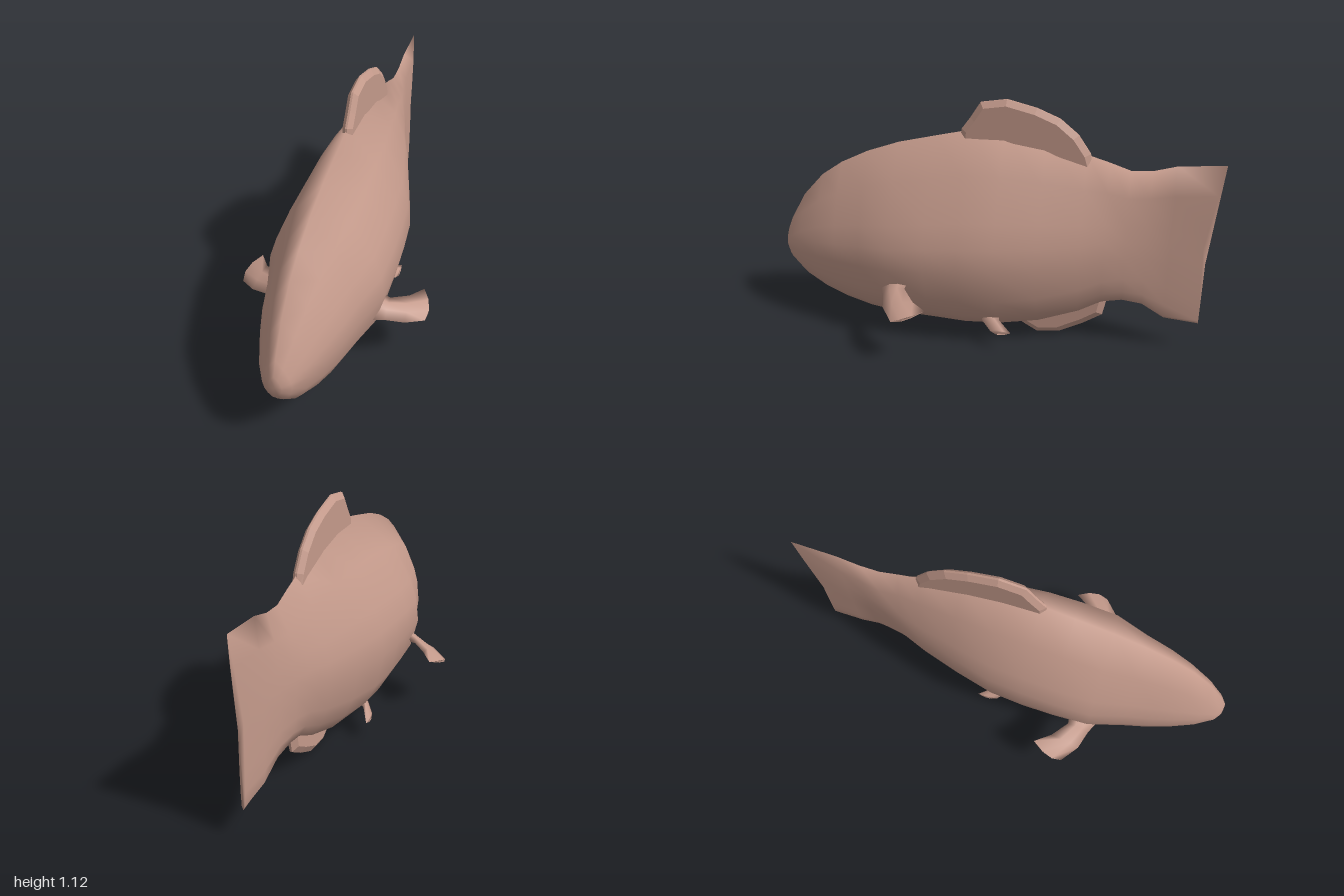
import * as THREE from 'three';

const material = new THREE.MeshStandardMaterial({ color: 0xc49a8b });

// Skin over closed rings of [x, y, z]; rings run anticlockwise seen from the first one.
function loft(rings) {
  const n = rings[0].length, pos = rings.flat(2), index = [];
  for (let i = 0; i < rings.length - 1; i++) {
    for (let j = 0; j < n; j++) {
      const a = i * n + j, b = i * n + (j + 1) % n;
      index.push(a, a + n, b, b, a + n, b + n);
    }
  }
  const cap = (ring, start, flip) => {
    const c = pos.length / 3;
    for (let k = 0; k < 3; k++) pos.push(ring.reduce((s, p) => s + p[k], 0) / n);
    for (let j = 0; j < n; j++) {
      const a = start + j, b = start + (j + 1) % n;
      index.push(c, flip ? b : a, flip ? a : b);
    }
  };
  cap(rings[0], 0, false);
  cap(rings[rings.length - 1], (rings.length - 1) * n, true);
  const g = new THREE.BufferGeometry();
  g.setAttribute('position', new THREE.Float32BufferAttribute(pos, 3));
  g.setIndex(index);
  g.computeVertexNormals();
  return g;
}

// Half cross-section of the body: [height fraction, width fraction]
const half = [[0, 0], [0.02, 0.37], [0.1, 0.66], [0.21, 0.87], [0.38, 1],
  [0.5, 0.95], [0.62, 0.82], [0.82, 0.47], [1, 0]];

// Body stations: z, bottom, top, half width
const stations = [
  [1.0, 0.31, 0.41, 0.03], [0.975, 0.265, 0.47, 0.062], [0.9, 0.19, 0.6, 0.105],
  [0.8, 0.135, 0.71, 0.145], [0.7, 0.1, 0.78, 0.178], [0.57, 0.07, 0.845, 0.21],
  [0.42, 0.06, 0.9, 0.26], [0.25, 0.057, 0.943, 0.265], [0.1, 0.05, 0.98, 0.26],
  [-0.06, 0.06, 0.985, 0.245], [-0.24, 0.09, 0.96, 0.195], [-0.42, 0.155, 0.91, 0.14],
  [-0.52, 0.21, 0.882, 0.103], [-0.61, 0.233, 0.853, 0.072], [-0.7, 0.215, 0.86, 0.045],
  [-0.8, 0.155, 0.89, 0.024], [-0.94, 0.145, 0.91, 0.012],
];

function bodyGeometry() {
  return loft(stations.map(([z, lo, hi, w], i) => {
    const last = i === stations.length - 1;
    const flat = z < -0.6 ? 0.6 : 1; // tail blade keeps a more even thickness
    const right = half.map(([t, f]) => {
      // the tail's rear edge is notched and sweeps back at the top
      const sweep = last ? (t > 0.5 ? (t - 0.5) * 0.12 : (0.5 - t) * 0.03) : 0;
      return [w * f ** flat, lo + (hi - lo) * t, z - sweep];
    });
    const left = right.slice(1, -1).reverse().map(([x, y, zz]) => [-x, y, zz]);
    return [...right, ...left];
  }));
}

// Upright midline fin from a [z, y] outline, with bevelled edges
function midlineFin(outline, thickness, bevel) {
  const shape = new THREE.Shape(outline.map(([z, y]) => new THREE.Vector2(-z, y)));
  const g = new THREE.ExtrudeGeometry(shape, {
    depth: thickness * 0.2, bevelEnabled: true, bevelThickness: thickness * 0.4,
    bevelSize: bevel, bevelOffset: -bevel, bevelSegments: 1,
  });
  g.translate(0, 0, -thickness * 0.1);
  g.rotateY(Math.PI / 2);
  return g;
}

// Paired fin from sections: leading point, trailing point, thickness, outward bulge
function pairedFin(sections, side) {
  const rings = sections.map(([lead, trail, thick, bulge]) => {
    const at = (t, s) => [
      side * (lead[0] + (trail[0] - lead[0]) * t + (s ? bulge : 0)),
      lead[1] + (trail[1] - lead[1]) * t + s * thick / 2,
      lead[2] + (trail[2] - lead[2]) * t,
    ];
    const ring = [at(0, 0), at(0.3, 1), at(0.65, 0.8), at(1, 0), at(0.65, -0.8), at(0.3, -1)];
    return side > 0 ? ring : ring.reverse();
  });
  return loft(rings);
}

export function createModel() {
  const group = new THREE.Group();
  const add = (name, geometry) => {
    const mesh = new THREE.Mesh(geometry, material);
    mesh.name = name;
    group.add(mesh);
  };

  add('bodyAndTail', bodyGeometry());

  add('dorsalFin', midlineFin([
    [0.14, 0.9], [0.13, 0.985], [0.09, 1.04], [0.045, 1.11], [-0.07, 1.13], [-0.2, 1.1],
    [-0.3, 1.06], [-0.38, 0.995], [-0.435, 0.915], [-0.45, 0.84],
  ], 0.045, 0.025));

  add('analFin', midlineFin([
    [-0.08, 0.14], [-0.12, 0.065], [-0.17, 0.035], [-0.225, 0.005], [-0.33, 0.02],
    [-0.44, 0.08], [-0.525, 0.137], [-0.54, 0.21], [-0.54, 0.27],
  ], 0.05, 0.03));

  for (const [label, side] of [['left', 1], ['right', -1]]) {
    add(label + 'PectoralFin', pairedFin([
      [[0.2, 0.275, 0.47], [0.2, 0.33, 0.33], 0.07, 0],
      [[0.27, 0.265, 0.435], [0.265, 0.305, 0.335], 0.04, 0],
      [[0.35, 0.25, 0.41], [0.335, 0.285, 0.275], 0.025, 0],
      [[0.425, 0.23, 0.35], [0.385, 0.278, 0.205], 0.012, 0.018],
    ], side));
    add(label + 'PelvicFin', pairedFin([
      [[0.11, 0.16, 0.03], [0.11, 0.175, -0.06], 0.05, 0],
      [[0.155, 0.12, 0.005], [0.16, 0.135, -0.075], 0.035, 0],
      [[0.19, 0.092, -0.04], [0.195, 0.095, -0.135], 0.024, 0.006],
    ], side));
  }
  return group;
}
